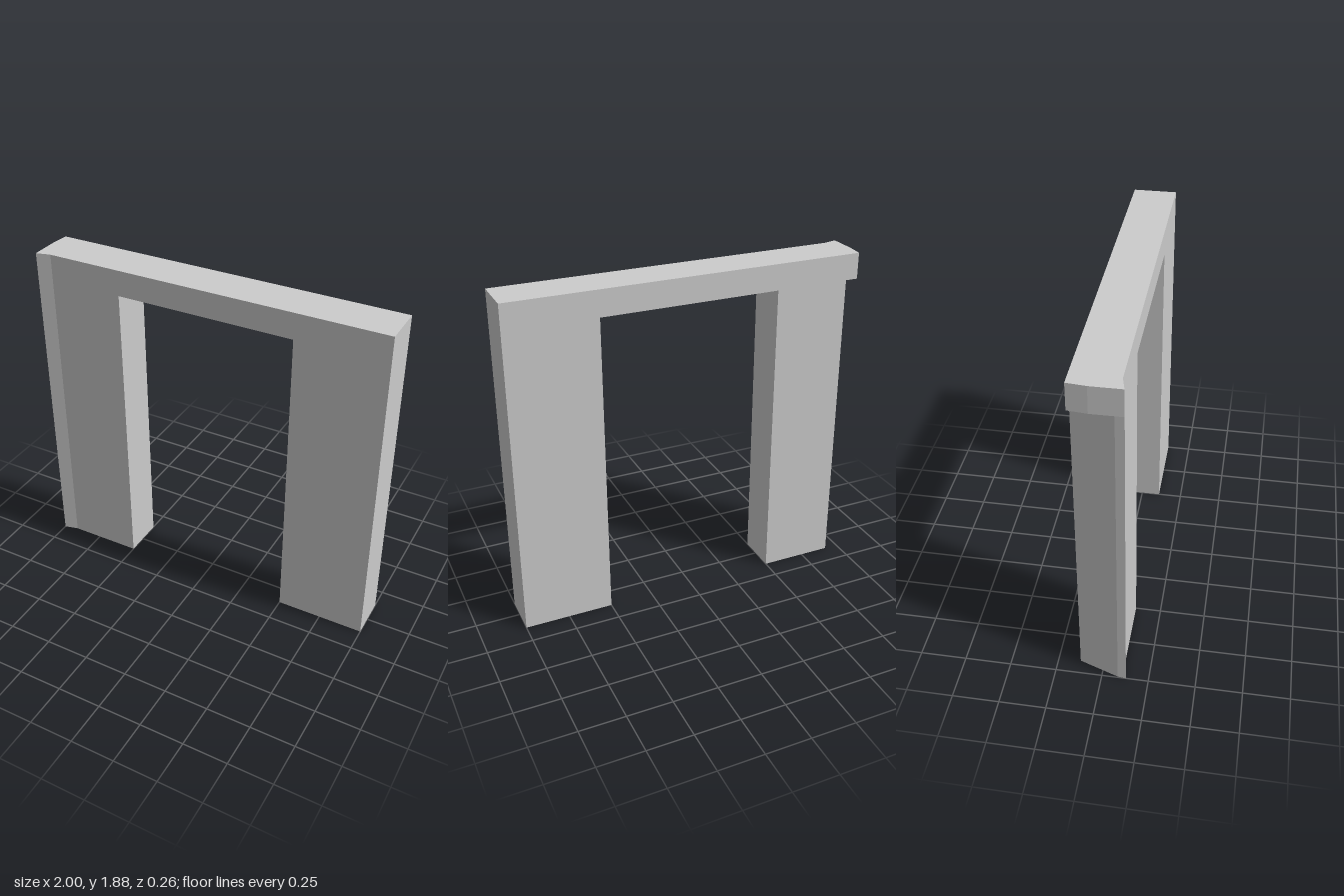
import * as THREE from 'three';

const HEIGHT = 1.88, SOFFIT = 1.735;   // overall height, top of the opening
const BACK = -0.13, FRONT = 0.11;      // faces of the wall
const INNER = 0.5, OUTER = 1;          // edges of each pillar

const material = new THREE.MeshStandardMaterial({ color: 0xcccccc, flatShading: true });

// Raises a plan outline of [x, z] points from y0 to y1
function raisePlan(name, plan, y0, y1) {
  const shape = new THREE.Shape(plan.map(([x, z]) => new THREE.Vector2(x, -z)));
  const geometry = new THREE.ExtrudeGeometry(shape, { depth: y1 - y0, bevelEnabled: false });
  geometry.rotateX(-Math.PI / 2).translate(0, y0, 0);
  const mesh = new THREE.Mesh(geometry, material);
  mesh.name = name;
  return mesh;
}

export function createModel() {
  const group = new THREE.Group();
  group.name = 'doorway';

  // Plain square pillar
  group.add(raisePlan('leftPillar', [
    [INNER, BACK], [OUTER, BACK], [OUTER, FRONT], [INNER, FRONT],
  ], 0, SOFFIT));

  // Pillar with a splayed outer side and a small lip at the front corner
  group.add(raisePlan('rightPillar', [
    [-INNER, BACK], [-INNER, FRONT], [-0.92, FRONT], [-OUTER, 0.13], [-0.995, 0.085], [-0.92, BACK],
  ], 0, SOFFIT));

  // Lintel across the top, overhanging the splayed side
  group.add(raisePlan('lintel', [
    [OUTER, BACK], [OUTER, FRONT], [-0.92, FRONT], [-OUTER, 0.13], [-OUTER, -0.03], [-0.99, BACK],
  ], SOFFIT, HEIGHT));

  return group;
}
